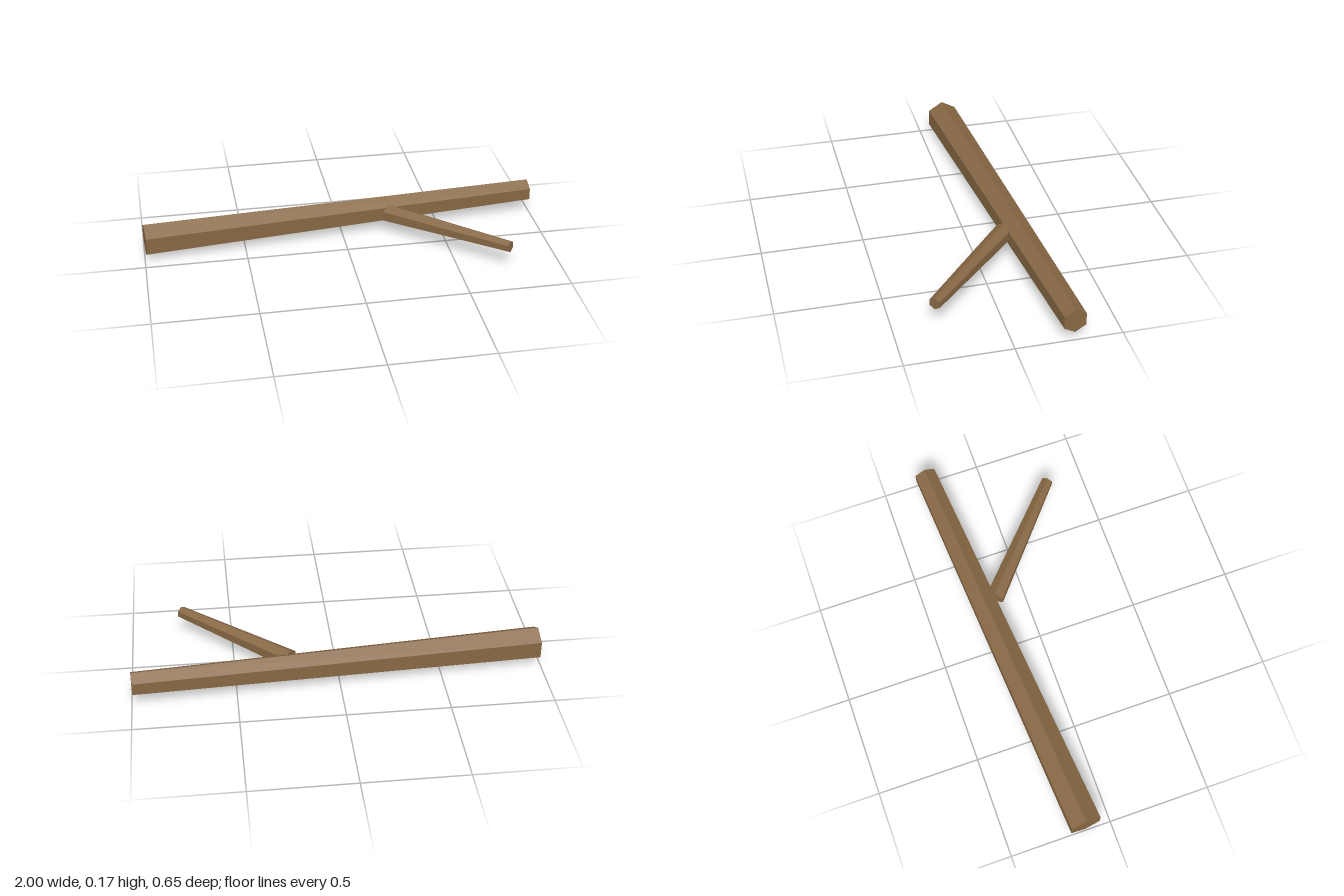
import * as THREE from 'three';

const bark = new THREE.MeshStandardMaterial({ color: 0x866743, flatShading: true });
bark.name = 'bark brown';

// Tapered six-sided limb from start to end, with one ridge facing up
function limb(name, start, end, startRadius, endRadius) {
  const a = new THREE.Vector3(...start);
  const b = new THREE.Vector3(...end);
  const geometry = new THREE.CylinderGeometry(endRadius, startRadius, a.distanceTo(b), 6);
  geometry.rotateX(Math.PI / 2);
  const mesh = new THREE.Mesh(geometry, bark);
  mesh.name = name;
  mesh.position.copy(a).add(b).multiplyScalar(0.5);
  mesh.lookAt(b);
  return mesh;
}

export function createModel() {
  const model = new THREE.Group();
  model.name = 'fallenBranch';

  // Long main stem
  model.add(limb('mainStem', [-0.994, 0.087, -0.124], [0.996, 0.103, -0.275], 0.085, 0.06));

  // Side twig growing forward from the stem
  model.add(limb('sideTwig', [0.233, 0.102, -0.156], [0.747, 0.118, 0.304], 0.048, 0.03));

  return model;
}
